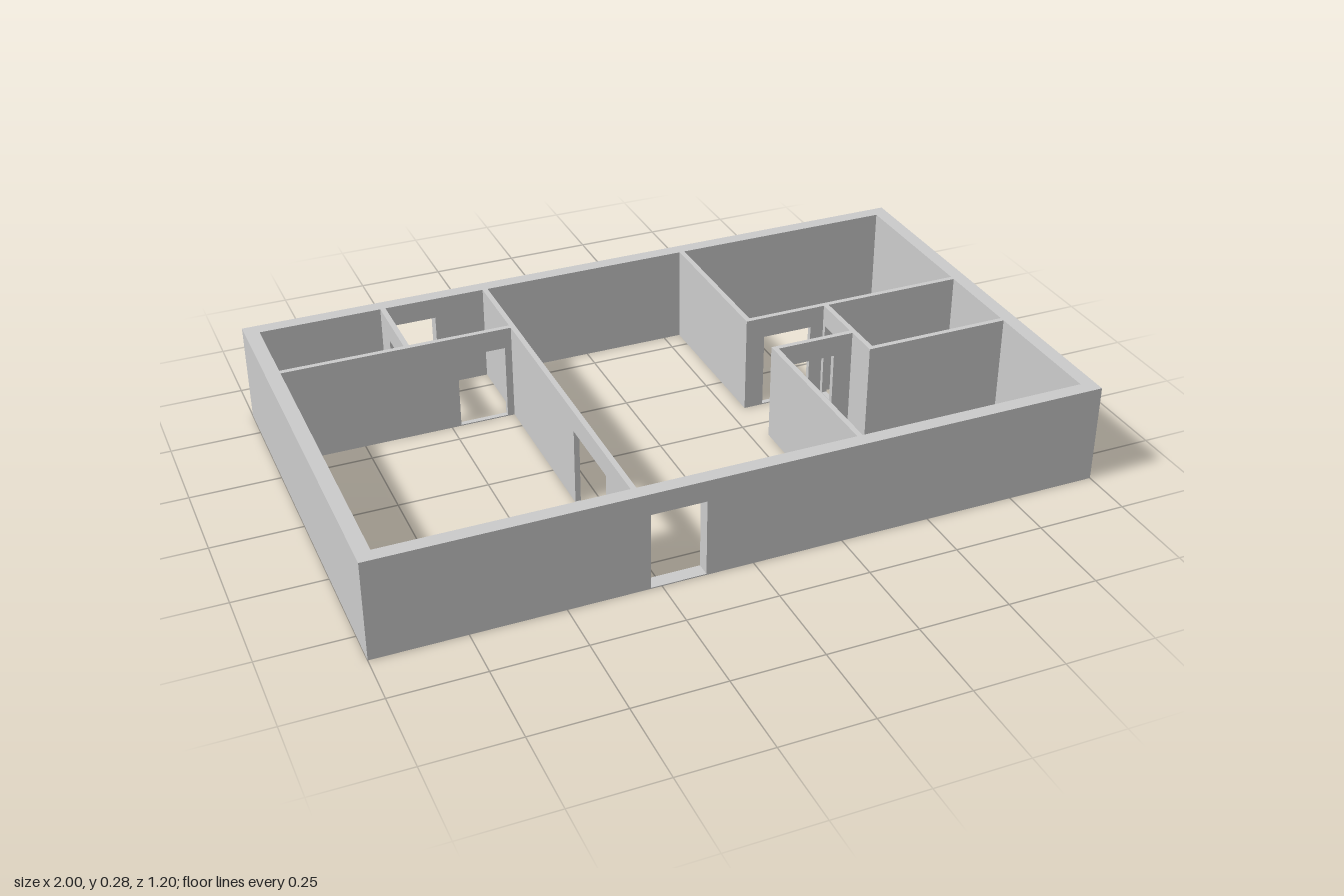
import * as THREE from 'three';

const H = 0.28;      // wall height
const DOOR = 0.22;   // doorway height
const SILL = 0.003;  // thin threshold under each doorway
const OUT = 0.04;    // outer wall thickness
const THIN = 0.015;  // partition thickness

const material = new THREE.MeshStandardMaterial({ color: 0xcccccc });

// Wall elevation from a to b, with an optional doorway [from, to], extruded by its thickness
function wallGeometry(a, b, thickness, door) {
  const shape = new THREE.Shape();
  shape.moveTo(a, 0).lineTo(b, 0).lineTo(b, H).lineTo(a, H).closePath();
  if (door) {
    const [p, q] = door;
    const hole = new THREE.Path();
    hole.moveTo(p, SILL).lineTo(p, DOOR).lineTo(q, DOOR).lineTo(q, SILL).closePath();
    shape.holes.push(hole);
  }
  const geometry = new THREE.ExtrudeGeometry(shape, { depth: thickness, bevelEnabled: false });
  return geometry.translate(0, 0, -thickness / 2);
}

// Wall running along x, centred on z = at
function wallAlongX(name, at, a, b, thickness, door) {
  const mesh = new THREE.Mesh(wallGeometry(a, b, thickness, door), material);
  mesh.name = name;
  mesh.position.z = at;
  return mesh;
}

// Wall running along z, centred on x = at (the turn maps local x to -z)
function wallAlongZ(name, at, a, b, thickness, door) {
  const flipped = door && [-door[1], -door[0]];
  const mesh = new THREE.Mesh(wallGeometry(-b, -a, thickness, flipped), material);
  mesh.name = name;
  mesh.position.x = at;
  mesh.rotation.y = Math.PI / 2;
  return mesh;
}

export function createModel() {
  const group = new THREE.Group();
  group.name = 'floorPlanHouse';

  // Outer walls with front and back doorways
  const outer = new THREE.Group();
  outer.name = 'outerWalls';
  outer.add(
    wallAlongX('frontWall', 0.58, -1, 1, OUT, [-0.28, -0.13]),
    wallAlongX('backWall', -0.58, -1, 1, OUT, [-0.597, -0.46]),
    wallAlongZ('leftWall', 0.98, -0.56, 0.56, OUT),
    wallAlongZ('rightWall', -0.98, -0.56, 0.56, OUT)
  );

  // Partitions on the -x side: long room, utility room and store
  const west = new THREE.Group();
  west.name = 'rightRoomPartitions';
  west.add(
    wallAlongZ('longPartition', -0.308, -0.56, 0.56, THIN, [0.17, 0.395]),
    wallAlongX('utilityPartition', -0.323, -0.96, -0.3155, THIN, [-0.473, -0.335]),
    wallAlongZ('storePartition', -0.61, -0.56, -0.3305, THIN, [-0.48, -0.35])
  );

  // Partitions on the +x side: two bedrooms, corridor and bathroom
  const east = new THREE.Group();
  east.name = 'leftRoomPartitions';
  east.add(
    wallAlongZ('backBedroomSide', 0.307, -0.56, -0.1075, THIN),
    wallAlongX('backBedroomPartition', -0.1, 0.2995, 0.96, THIN, [0.355, 0.5]),
    wallAlongZ('bathroomPartition', 0.547, -0.0925, 0.1795, THIN, [-0.08, 0.05]),
    wallAlongX('frontBedroomPartition', 0.072, 0.2995, 0.5395, THIN, [0.35, 0.485]),
    wallAlongZ('frontBedroomSide', 0.307, 0.0795, 0.56, THIN),
    wallAlongX('bathroomFrontPartition', 0.172, 0.5545, 0.96, THIN)
  );

  group.add(outer, west, east);
  return group;
}
